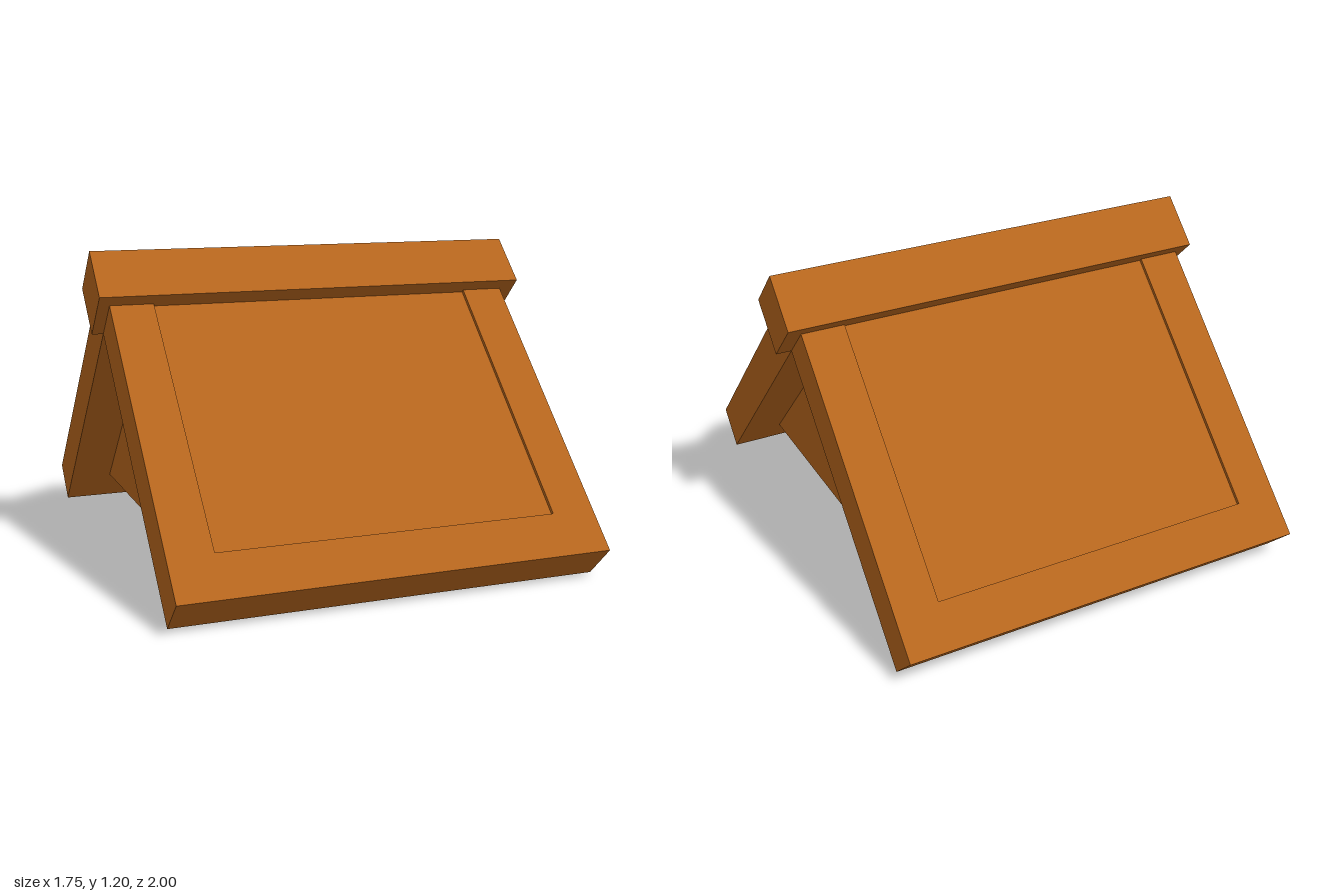
import * as THREE from 'three';

const WIDTH = 1.65, INNER = 1.31;        // slab width, recess and gable width
const THICK = 0.174, RECESS = 0.013;     // slab thickness, recess depth
const EAVE_Z = 0.877;                    // inner eave edge; slopes are 45 degrees
const LENGTH = 1.3, BORDER = 0.175;      // slope length (end hidden in the cap), eave border

export function createModel() {
  const model = new THREE.Group();
  model.name = 'gableRoof';
  const wood = new THREE.MeshStandardMaterial({ color: 0xb5651d });
  wood.name = 'warm brown';

  const add = (parent, name, geometry) => {
    const mesh = new THREE.Mesh(geometry, wood);
    mesh.name = name;
    parent.add(mesh);
    return mesh;
  };
  const extrude = (points, depth) => new THREE.ExtrudeGeometry(
    new THREE.Shape(points.map(([x, y]) => new THREE.Vector2(x, y))),
    { depth, bevelEnabled: false });

  const body = new THREE.Group();
  body.name = 'roofBody';
  body.position.x = -0.01;
  model.add(body);

  // Two slopes: a U-shaped frame around a slightly sunken panel
  const w = WIDTH / 2, i = INNER / 2;
  const frame = extrude([
    [-w, 0], [w, 0], [w, LENGTH], [i, LENGTH],
    [i, BORDER], [-i, BORDER], [-i, LENGTH], [-w, LENGTH],
  ], THICK);
  const panel = new THREE.BoxGeometry(INNER, LENGTH - BORDER, THICK - RECESS);
  panel.translate(0, (LENGTH + BORDER) / 2, (THICK - RECESS) / 2);
  for (const side of ['front', 'back']) {
    const half = new THREE.Group();
    half.name = side + 'Half';
    half.rotation.y = side === 'front' ? 0 : Math.PI;
    const slope = new THREE.Group();
    slope.name = side + 'Slope';
    slope.position.z = EAVE_Z;
    slope.rotation.x = -Math.PI / 4;
    add(slope, side + 'Frame', frame);
    add(slope, side + 'Panel', panel);
    half.add(slope);
    body.add(half);
  }

  // Solid triangular gable between the slopes
  const base = BORDER * Math.SQRT1_2;
  const gable = extrude([[-(EAVE_Z - base), base], [EAVE_Z - base, base], [0, EAVE_Z]], INNER);
  gable.translate(0, 0, -i);
  gable.rotateY(Math.PI / 2);
  add(body, 'gable', gable);

  // Square ridge beam set on its corner
  const beam = add(model, 'ridgeBeam', new THREE.BoxGeometry(1.755, 0.225, 0.225));
  beam.position.set(-0.002, EAVE_Z + 0.159, 0);
  beam.rotation.x = Math.PI / 4;

  return model;
}
